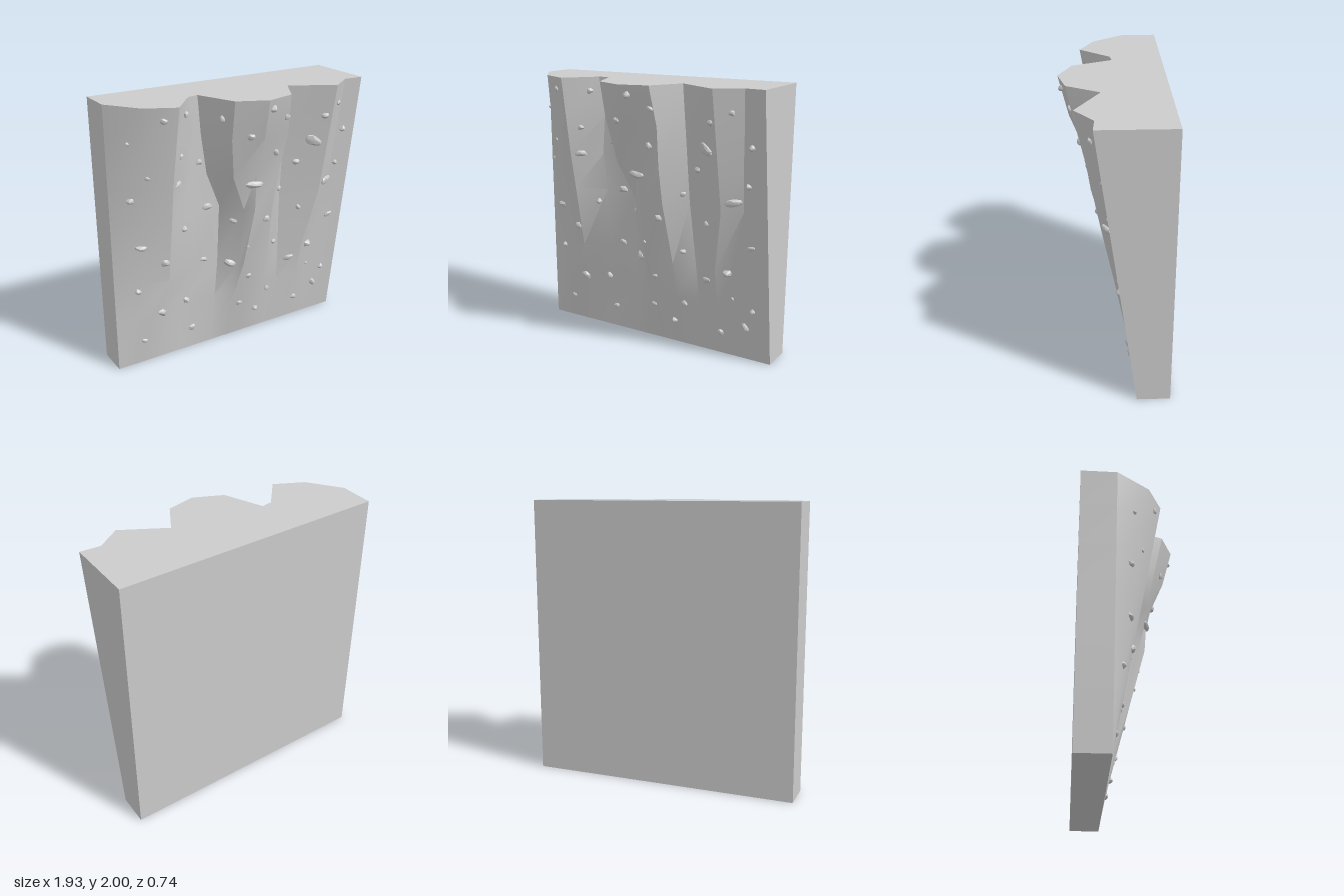
import * as THREE from 'three';
import { toCreasedNormals } from 'three/addons/utils/BufferGeometryUtils.js';

const BACK = -0.37, FOOT = -0.14;
const LEVELS = [0, 0.4, 0.68, 1.15, 1.42, 1.72, 2];
// depth of each ridge or groove at the top; all of them fade out at the foot
const TOP_Z = [-0.12, 0.11, 0.215, 0, -0.015, 0.27, 0.365, 0.31, 0.08, 0.255, 0.13, 0.14];
// sideways course of each ridge or groove, one x per level
const COURSES = [
  [-0.97, -0.97, -0.97, -0.97, -0.97, -0.97, -0.97],
  [-0.8, -0.84, -0.78, -0.79, -0.8, -0.8, -0.8],
  [-0.63, -0.72, -0.59, -0.595, -0.6, -0.595, -0.59],
  [-0.45, -0.49, -0.36, -0.385, -0.41, -0.375, -0.41],
  [-0.18, -0.16, -0.145, -0.14, -0.25, -0.3, -0.33],
  [-0.06, -0.02, -0.02, -0.03, -0.15, -0.2, -0.21],
  [0.08, 0.05, 0.01, 0.03, 0.03, 0.01, 0],
  [0.3, 0.24, 0.235, 0.205, 0.21, 0.235, 0.21],
  [0.45, 0.4, 0.385, 0.355, 0.35, 0.345, 0.34],
  [0.6, 0.57, 0.57, 0.65, 0.65, 0.65, 0.65],
  [0.7, 0.68, 0.68, 0.79, 0.795, 0.81, 0.82],
  [0.965, 0.965, 0.965, 0.965, 0.965, 0.965, 0.965],
];
const N = COURSES.length, RIDGE = 6;

// front outline [x, z] of the wall at one level
function outline(level) {
  const t = LEVELS[level] / 2;
  return COURSES.map((c, i) => {
    const dent = i === RIDGE && LEVELS[level] === 1.42 ? 0.05 : 0;
    return [c[level], FOOT + (TOP_Z[i] - FOOT) * t - dent];
  });
}

// depth of the wall face at any x, y
function faceZ(x, y) {
  let l = 0;
  while (l < LEVELS.length - 2 && y > LEVELS[l + 1]) l++;
  const t = (y - LEVELS[l]) / (LEVELS[l + 1] - LEVELS[l]);
  const a = outline(l), b = outline(l + 1);
  const row = a.map((p, i) => [p[0] + (b[i][0] - p[0]) * t, p[1] + (b[i][1] - p[1]) * t]);
  let i = 0;
  while (i < N - 2 && x > row[i + 1][0]) i++;
  const u = (x - row[i][0]) / (row[i + 1][0] - row[i][0]);
  return row[i][1] + (row[i + 1][1] - row[i][1]) * u;
}

// closed wall: front outline plus straight back, stacked level by level
function wallGeometry() {
  const pos = [], idx = [], M = 2 * N;
  LEVELS.forEach((y, l) => {
    const front = outline(l);
    front.forEach(([x, z]) => pos.push(x, y, z));
    front.slice().reverse().forEach(([x]) => pos.push(x, y, BACK));
  });
  const quad = (a, b, c, d) => idx.push(a, b, c, a, c, d);
  for (let l = 0; l < LEVELS.length - 1; l++) {
    for (let i = 0; i < M; i++) {
      const j = (i + 1) % M, p = l * M, q = p + M;
      quad(p + i, p + j, q + j, q + i);
    }
  }
  const top = (LEVELS.length - 1) * M;
  for (let i = 0; i < N - 1; i++) {
    const b = M - 1 - i;
    quad(top + i, top + i + 1, top + b - 1, top + b);
    quad(b, b - 1, i + 1, i);
  }
  const g = new THREE.BufferGeometry();
  g.setAttribute('position', new THREE.Float32BufferAttribute(pos, 3));
  g.setIndex(idx);
  return toCreasedNormals(g, 0.5);
}

// uneven pebble of radius 1
function holdGeometry(seed) {
  const g = new THREE.IcosahedronGeometry(1, 1), p = g.attributes.position;
  const v = new THREE.Vector3();
  for (let i = 0; i < p.count; i++) {
    v.fromBufferAttribute(p, i);
    const k = 1 + 0.16 * Math.sin(v.x * 3.1 + seed * 1.7) * Math.cos(v.y * 2.7 - seed) + 0.08 * Math.sin(v.z * 4 + seed);
    p.setXYZ(i, v.x * k, v.y * k, v.z * k);
  }
  return toCreasedNormals(g, 0.55);
}

// small holds: x, y, width
const SMALL = [
  [-0.675, 1.91, 0.05], [-0.455, 1.9, 0.05], [-0.24, 1.86, 0.05], [0.05, 1.93, 0.06],
  [0.2, 1.84, 0.05], [0.745, 1.84, 0.045], [0.605, 1.77, 0.055], [-0.865, 1.75, 0.035],
  [-0.08, 1.74, 0.055], [-0.52, 1.63, 0.045], [0.155, 1.58, 0.05], [0.86, 1.61, 0.055],
  [-0.765, 1.515, 0.035], [-0.315, 1.52, 0.05], [0.45, 1.415, 0.055], [0.83, 1.34, 0.05],
  [0.32, 1.22, 0.045], [0.16, 1.04, 0.06], [0.51, 1.03, 0.045], [-0.45, 1.05, 0.05],
  [0.025, 0.83, 0.03], [-0.625, 0.84, 0.065], [0.305, 0.78, 0.045], [-0.815, 0.63, 0.055],
  [0.075, 0.55, 0.045], [0.68, 0.47, 0.03], [-0.41, 0.43, 0.055], [0.835, 0.4, 0.05],
  [0.29, 0.355, 0.05], [0.03, 0.3, 0.05], [-0.765, 0.195, 0.05], [0.195, 0.19, 0.055],
  [-0.36, 0.175, 0.055], [0.58, 0.18, 0.055],
];
// large holds: x, y, width, height, tilt
const LARGE = [
  [0.55, 1.58, 0.13, 0.075, -0.4], [-0.54, 1.43, 0.09, 0.045, 0], [0.015, 1.35, 0.135, 0.05, 0.05],
  [-0.855, 1.345, 0.07, 0.05, 0.2], [0.73, 1.22, 0.12, 0.055, 0.15], [-0.245, 1.165, 0.08, 0.05, 0.1],
  [-0.07, 1.045, 0.075, 0.045, 0.2], [-0.8, 0.985, 0.1, 0.045, -0.1], [0.835, 0.89, 0.07, 0.035, 0.4],
  [-0.265, 0.74, 0.065, 0.035, -0.3], [-0.07, 0.68, 0.09, 0.06, 0], [0.65, 0.67, 0.075, 0.06, 0],
  [0.48, 0.585, 0.085, 0.045, 0.35], [-0.625, 0.4, 0.08, 0.05, -0.7], [0.775, 0.26, 0.075, 0.045, -0.7],
];

export function createModel() {
  const model = new THREE.Group();
  const material = new THREE.MeshStandardMaterial({ color: 0xcccccc });

  const wall = new THREE.Mesh(wallGeometry(), material);
  wall.name = 'rockWall';
  model.add(wall);

  const holds = new THREE.Group();
  holds.name = 'climbingHolds';
  model.add(holds);
  const shapes = [0, 1, 2, 3].map(holdGeometry);
  const e = 0.01, forward = new THREE.Vector3(0, 0, 1);

  // each hold lies flat on the face, half sunk into it
  const addHold = ([x, y, w, h = w * 0.82, tilt], i) => {
    const hold = new THREE.Mesh(shapes[i % 4], material);
    const normal = new THREE.Vector3(
      (faceZ(x - e, y) - faceZ(x + e, y)) / (2 * e),
      (faceZ(x, y - e) - faceZ(x, y + e)) / (2 * e), 1).normalize();
    hold.name = 'hold';
    hold.position.set(x, y, faceZ(x, y));
    hold.quaternion.setFromUnitVectors(forward, normal);
    hold.rotateZ(tilt ?? Math.sin(i * 2.4) * 0.7);
    hold.scale.set(w / 2, h / 2, Math.min(0.027, h * 0.45));
    holds.add(hold);
  };
  SMALL.forEach(addHold);
  LARGE.forEach(addHold);
  return model;
}
